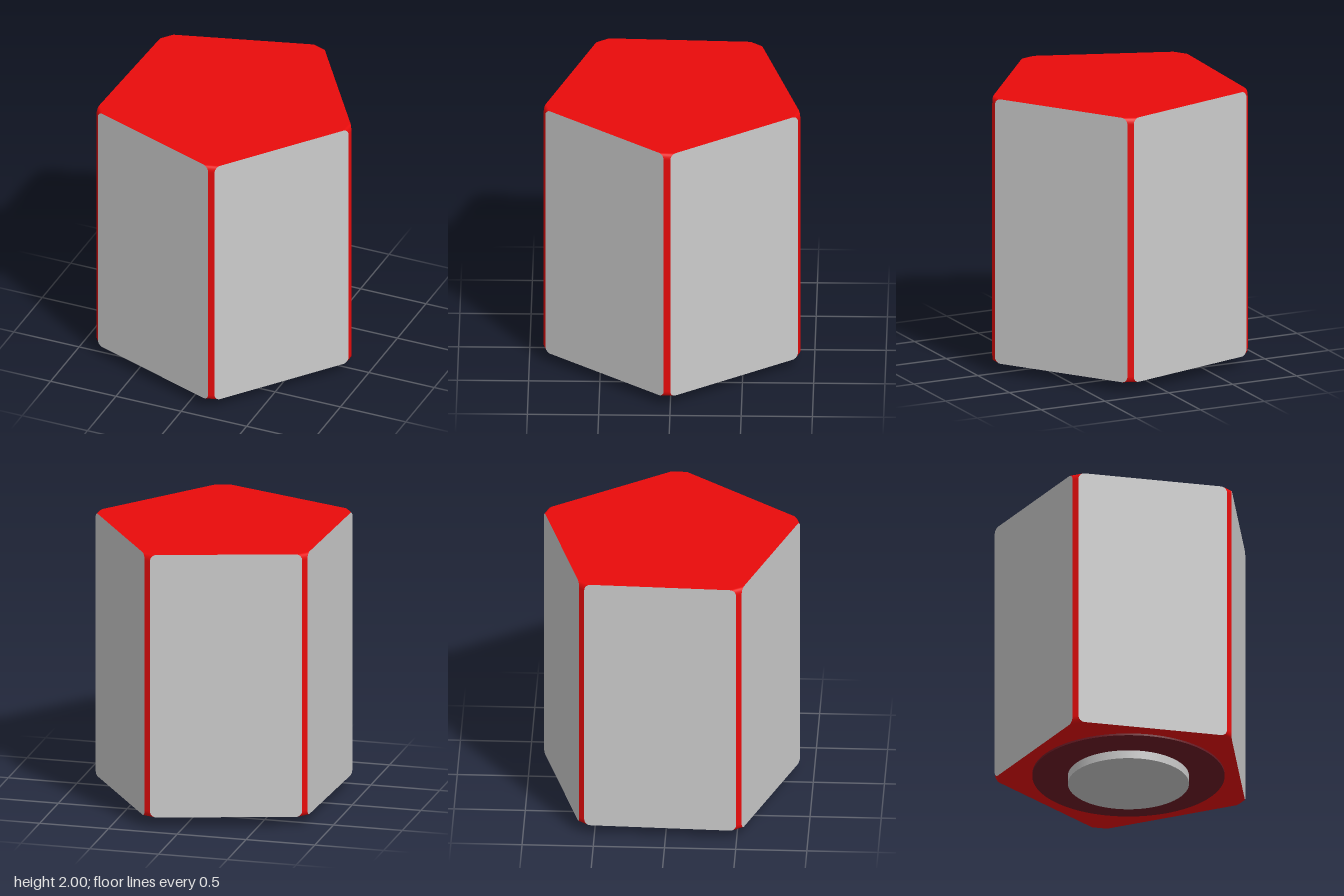
import * as THREE from 'three';

const SIDES = 5, RADIUS = 0.941, START = 2, HALF_CUT = 1.4; // angles in degrees
const BOTTOM = 0.075, TOP = 2, ROUND = 0.045;
const CX = -0.075, CZ = -0.01;

const red = new THREE.MeshStandardMaterial({ color: 0xe90b0b });
const grey = new THREE.MeshStandardMaterial({ color: 0xcccccc });
const dark = new THREE.MeshStandardMaterial({ color: 0x6e1c26 });

// Vertical levels [y, setback]: rounded off at the bottom and the top
const levels = [];
for (let i = 0; i <= 8; i++) {
  const a = (i / 8) * Math.PI / 2;
  levels.push([BOTTOM + ROUND * (1 - Math.cos(a)), ROUND * (1 - Math.sin(a))]);
}
for (const [y, s] of levels.slice().reverse()) levels.push([BOTTOM + TOP - y, s]);

// One end of a cut corner: side -1 comes before the corner, +1 after it
function cutPoint(k, side) {
  const a = THREE.MathUtils.degToRad(START + k * 360 / SIDES + side * HALF_CUT);
  return new THREE.Vector3(Math.cos(a) * RADIUS, 0, Math.sin(a) * RADIUS);
}

// The same point slid along its side face by the setback of a level
function edgePoint(k, side, [y, setback]) {
  const p = cutPoint(k, side);
  const along = cutPoint(k + side, -side).sub(p).normalize();
  return p.addScaledVector(along, setback).setY(y);
}

function makeGeometry(points, index) {
  const g = new THREE.BufferGeometry().setFromPoints(points);
  g.setIndex(index);
  g.computeVertexNormals();
  return g;
}

// Vertical strip between two corner edges, following all levels
function strip(k1, side1, k2, side2) {
  const points = [], index = [];
  levels.forEach((level, i) => {
    points.push(edgePoint(k1, side1, level), edgePoint(k2, side2, level));
    if (i) {
      const a = 2 * i - 2;
      index.push(a, a + 2, a + 3, a, a + 3, a + 1);
    }
  });
  return makeGeometry(points, index);
}

// Flat end face
function cap(level, up) {
  const points = [new THREE.Vector3(0, level[0], 0)], index = [];
  for (let k = 0; k < SIDES; k++) points.push(edgePoint(k, -1, level), edgePoint(k, 1, level));
  const n = SIDES * 2;
  for (let i = 0; i < n; i++) {
    const a = 1 + i, b = 1 + (i + 1) % n;
    index.push(0, up ? b : a, up ? a : b);
  }
  return makeGeometry(points, index);
}

export function createModel() {
  const model = new THREE.Group();
  model.name = 'pentagonalPrism';
  model.position.set(CX, 0, CZ);
  const add = (name, geometry, material, y = 0) => {
    const mesh = new THREE.Mesh(geometry, material);
    mesh.name = name;
    mesh.position.y = y;
    model.add(mesh);
  };

  // Body: grey side panels with red corner strips
  for (let k = 0; k < SIDES; k++) {
    add('sidePanel' + (k + 1), strip(k, 1, k + 1, -1), grey);
    add('cornerStrip' + (k + 1), strip(k, -1, k, 1), red);
  }
  add('topFace', cap(levels[levels.length - 1], true), red);
  add('bottomFace', cap(levels[0], false), red);

  // Base: thin dark disc and a smaller foot below it
  add('baseDisc', new THREE.CylinderGeometry(0.675, 0.675, 0.015, 96), dark, 0.0685);
  add('foot', new THREE.CylinderGeometry(0.425, 0.425, 0.065, 96), grey, 0.0325);

  const root = new THREE.Group();
  root.add(model);
  return root;
}
